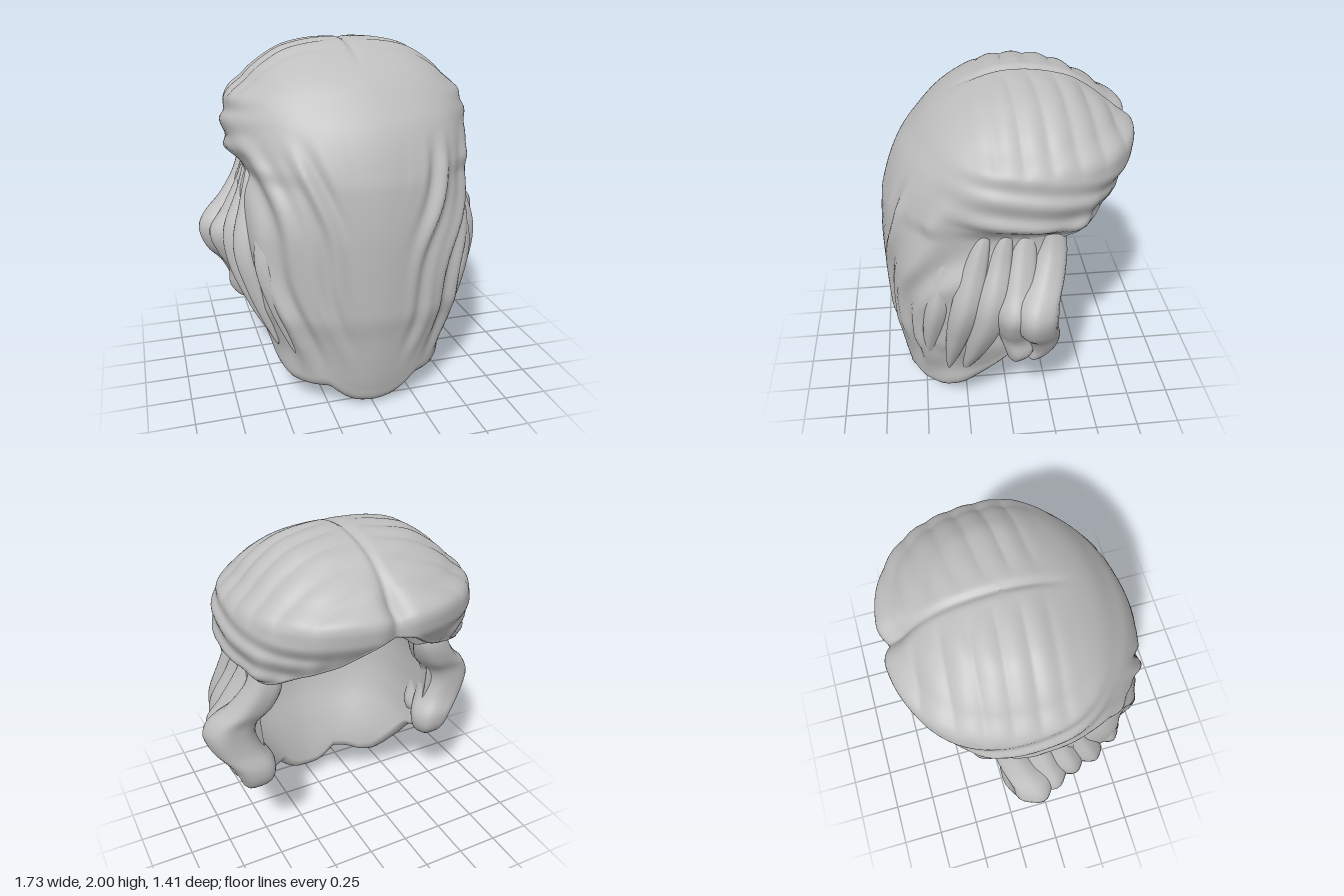
import * as THREE from 'three';

const Z0 = -0.08; // axis of the shell
const hairGrey = new THREE.MeshStandardMaterial({ color: 0xbebebe });
hairGrey.name = 'hair grey';

// Monotone cubic through knots [[x, a, b..], ...]; k is the value column
function curve(knots, k = 1) {
  const n = knots.length;
  const slope = i => (knots[i + 1][k] - knots[i][k]) / (knots[i + 1][0] - knots[i][0]);
  const m = knots.map((_, i) => {
    if (i === 0) return slope(0);
    if (i === n - 1) return slope(n - 2);
    const a = slope(i - 1), b = slope(i);
    return a * b <= 0 ? 0 : (2 * a * b) / (a + b);
  });
  return x => {
    let i = 0;
    while (i < n - 2 && x > knots[i + 1][0]) i++;
    const h = knots[i + 1][0] - knots[i][0];
    const t = Math.min(1, Math.max(0, (x - knots[i][0]) / h));
    const s = t * t, c = s * t;
    return (2 * c - 3 * s + 1) * knots[i][k] + (c - 2 * s + t) * h * m[i]
      + (3 * s - 2 * c) * knots[i + 1][k] + (c - s) * h * m[i + 1];
  };
}

// Closed rings of points, ordered from top to bottom
function loft(rows, cols, point) {
  const pos = [], idx = [];
  for (let i = 0; i < rows; i++) {
    for (let j = 0; j < cols; j++) {
      pos.push(...point(i, (j / cols) * Math.PI * 2));
      if (i === rows - 1) continue;
      const k = (j + 1) % cols;
      const a = i * cols + j, b = a + cols, c = (i + 1) * cols + k, d = i * cols + k;
      idx.push(a, b, c, a, c, d);
    }
  }
  const g = new THREE.BufferGeometry();
  g.setAttribute('position', new THREE.Float32BufferAttribute(pos, 3));
  g.setIndex(idx);
  g.computeVertexNormals();
  return g;
}

// Shell profile: height, half width, back z, face-side z
const profile = [
  [2, 0, -0.08, -0.08], [1.985, 0.2, 0.05, -0.24], [1.95, 0.35, 0.15, -0.37],
  [1.9, 0.44, 0.26, -0.46], [1.8, 0.56, 0.4, -0.61], [1.7, 0.63, 0.49, -0.69],
  [1.6, 0.655, 0.57, -0.68], [1.5, 0.665, 0.62, -0.62], [1.4, 0.66, 0.655, -0.57],
  [1.3, 0.62, 0.68, -0.54], [1, 0.65, 0.7, -0.55], [0.6, 0.62, 0.69, -0.54],
  [0.45, 0.57, 0.665, -0.5], [0.3, 0.525, 0.645, -0.5], [0.15, 0.515, 0.62, -0.5], [0, 0.48, 0.58, -0.5],
].map(([y, ...r]) => [Math.sqrt(2 - y), ...r]);
const [width, back, face] = [1, 2, 3].map(k => curve(profile, k));

// Hem height against the angle from the back centre
const hem = curve([
  [0, 0.09], [0.18, 0.1], [0.32, 0.13], [0.42, 0.17], [0.52, 0.205], [0.85, 0.205],
  [1.05, 0.25], [1.2, 0.33], [1.35, 0.44], [1.5, 0.56], [1.72, 0.62], [1.83, 1.24],
  [1.95, 1.3], [2.2, 1.335], [2.45, 1.4], [2.75, 1.47], [3, 1.59], [Math.PI, 1.63],
]);

const step = THREE.MathUtils.smoothstep;

// Height of the combed relief at a point on the shell
function relief(x, y, z) {
  const ax = Math.abs(x);
  const capMask = 1 - step(z, 0.05, 0.4);
  const tilt = y - 0.17 * z;
  let d = 0.04 * step(tilt, 1.34, 1.41) * (1 - step(y, 1.65, 1.8)) * capMask;
  // rolled bands along the sides of the cap
  d += 0.011 * Math.sin((tilt - 1.38) * 46) * step(tilt, 1.33, 1.39)
    * (1 - step(tilt, 1.6, 1.72)) * capMask * step(ax, 0.25, 0.5);
  // combed waves across the crown
  d += 0.013 * (Math.abs(Math.sin((z + 0.08 * ax) * 24 + 2 * z * z)) - 0.6) * step(y, 1.6, 1.75)
    * (1 - step(z, 0, 0.25)) * step(ax, 0.02, 0.2);
  // long strands sweeping down to the back centre
  const q = ax + (1.5 - y) * 0.32 + 0.025 * Math.sin(y * 8 + x * 3);
  const strand = Math.sin(q * 34) + 0.6 * Math.sin(q * 57 + y * 3);
  d += 0.014 * strand * step(ax, 0.08, 0.35) * (1 - step(y, 1.3, 1.6)) * step(y, 0.15, 0.45);
  // centre parting
  d -= 0.018 * Math.exp(-((x / 0.025) ** 2)) * step(y, 1.5, 1.8) * (1 - step(z, 0, 0.35));
  d -= 0.05 * Math.exp(-((x / 0.06) ** 2)) * (1 - step(z, -0.68, -0.45));
  return d;
}

function shellGeometry() {
  const CAP = 70, OUT = 120, RIM = 11, IN = 50;
  return loft(OUT + RIM + IN, 240, (i, a) => {
    const h = hem(Math.min(a, Math.PI * 2 - a));
    const uHem = Math.sqrt(2 - h);
    const uCap = Math.sqrt(2 - Math.max(h, 1.32));
    const along = r => (r < CAP ? (uCap * r) / CAP
      : uCap + ((uHem - uCap) * (r - CAP)) / (OUT - 1 - CAP));
    // the wall swells into a rounded roll towards the low hem
    const low = y => 1 - step(y, 0.15, 0.85);
    const thick = r => 0.86 - 0.14 * low(2 - r * r);
    let u = uHem, s = 1, drop = 0;
    if (i < OUT) u = along(i);
    else if (i < OUT + RIM) {
      const f = (i - OUT + 1) / (RIM + 1);
      s = 1 - (1 - thick(u)) * (1 - Math.cos(f * Math.PI)) / 2;
      drop = (0.025 + 0.065 * low(h)) * Math.sin(f * Math.PI);
    } else {
      const t = 1 - (i - OUT - RIM) / (IN - 1);
      u = along(t * (OUT - 1));
      s = thick(u);
      drop = 0.1 * (1 - t);
    }
    const c = Math.cos(a), y = 2 - u * u;
    // fuller corners between back and sides
    const full = 1 + Math.sin(2 * a) ** 2
      * (c > 0 ? (0.15 - 0.08 * step(y, 1.2, 1.6)) * Math.abs(Math.sin(a)) : 0.04);
    const x = width(u) * Math.sin(a) * full;
    const z = Z0 + c * full * (c > 0 ? back(u) - Z0 : Z0 - face(u));
    // relief pushes out from the axis, turning upwards over the crown
    const n = new THREE.Vector3(x, Math.max(0, y - 1.2), z - Z0).normalize();
    n.multiplyScalar(i < OUT + RIM ? relief(x, y, z) : 0);
    return [(x + n.x) * s, y + n.y - drop, Z0 + (z + n.z - Z0) * s];
  });
}

// Wavy lock with level oval sections; a higher taper gives more pointed ends
function lockGeometry(points, rx, rz, taper, side) {
  const path = new THREE.CatmullRomCurve3(
    points.map(([x, y, z]) => new THREE.Vector3(x * side, y, z)));
  const ROWS = 48;
  return loft(ROWS, 28, (i, a) => {
    const t = (1 - Math.cos((i / (ROWS - 1)) * Math.PI)) / 2;
    const p = path.getPoint(t);
    const r = Math.pow(Math.max(0, Math.sin(t * Math.PI)), taper)
      * (1 + 0.04 * Math.cos(a * 5));
    return [p.x + rx * r * Math.sin(a), p.y, p.z + rz * r * Math.cos(a)];
  });
}

// Locks of the left side: name, path, half width, half depth, taper
const locks = [
  ['faceLock', [[0.53, 1.45, -0.2], [0.53, 1.25, -0.21], [0.6, 1.1, -0.17], [0.69, 1, -0.12],
    [0.715, 0.92, -0.11], [0.68, 0.8, -0.12], [0.61, 0.69, -0.16], [0.59, 0.59, -0.165],
    [0.61, 0.49, -0.12]], 0.15, 0.125, 0.4],
  ['templeLock', [[0.52, 1.45, -0.09], [0.55, 1.25, -0.06], [0.63, 1.06, -0.03], [0.7, 0.93, -0.01],
    [0.66, 0.8, -0.01], [0.61, 0.68, -0.03], [0.63, 0.58, -0.04], [0.62, 0.49, -0.02]], 0.115, 0.11, 0.45],
  ['sideLock', [[0.56, 1.45, 0.01], [0.59, 1.2, 0.06], [0.66, 0.98, 0.11], [0.65, 0.8, 0.14],
    [0.58, 0.56, 0.2], [0.48, 0.3, 0.27]], 0.09, 0.09, 0.7],
  ['rearSideLock', [[0.57, 1.42, 0.12], [0.6, 1.16, 0.19], [0.64, 0.92, 0.25], [0.6, 0.68, 0.3],
    [0.5, 0.34, 0.36]], 0.075, 0.08, 0.7],
  ['rearLock', [[0.5, 1.36, 0.29], [0.54, 1.12, 0.35], [0.565, 0.88, 0.4], [0.52, 0.64, 0.44],
    [0.42, 0.32, 0.47]], 0.06, 0.065, 0.7],
];

export function createModel() {
  const model = new THREE.Group();
  model.name = 'hair';
  const add = (name, geometry) => {
    const mesh = new THREE.Mesh(geometry, hairGrey);
    mesh.name = name;
    model.add(mesh);
  };
  add('hairShell', shellGeometry());
  for (const [name, ...shape] of locks) {
    add(name + 'Left', lockGeometry(...shape, 1));
    add(name + 'Right', lockGeometry(...shape, -1));
  }
  return model;
}
